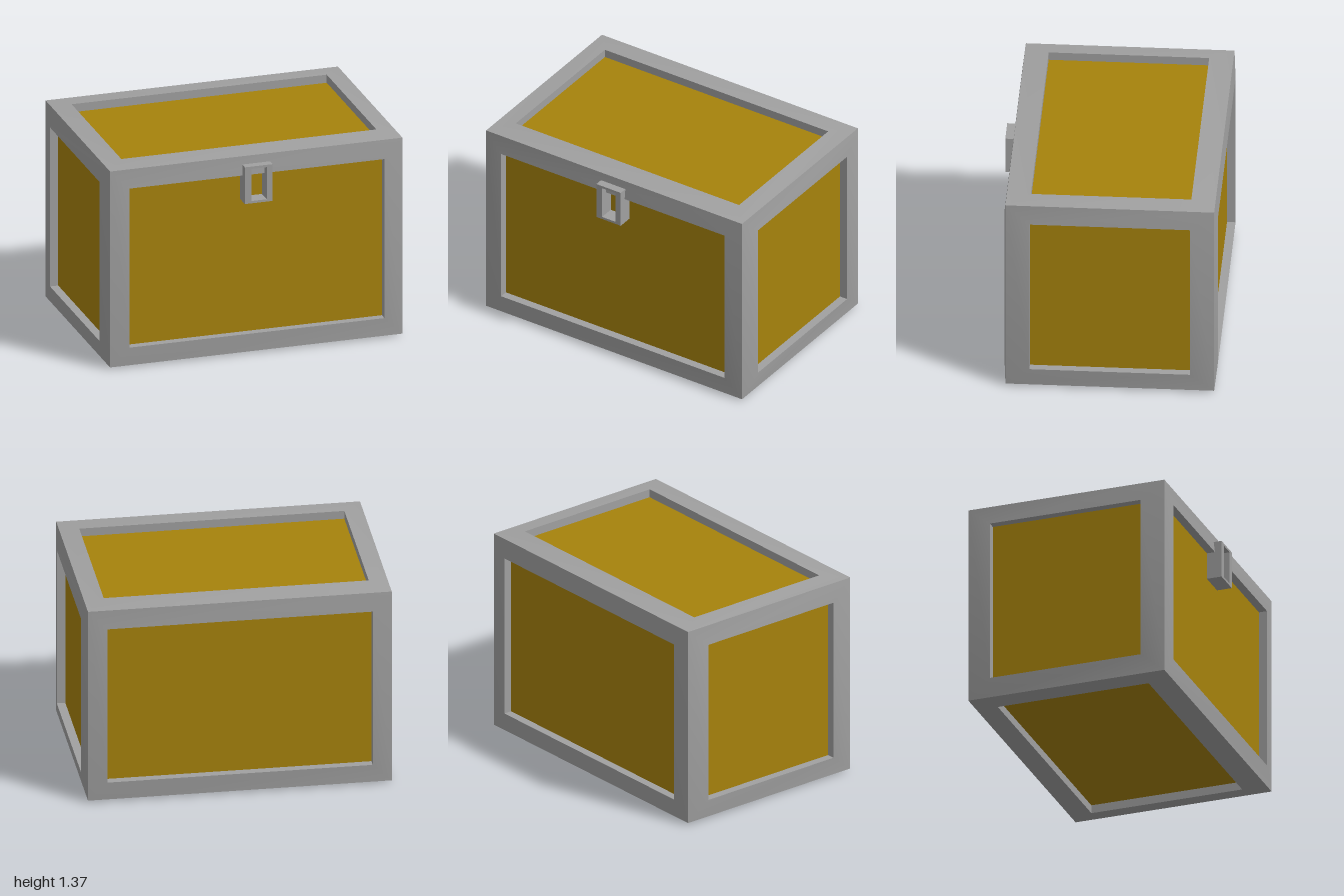
import * as THREE from 'three';
import { toCreasedNormals } from 'three/addons/utils/BufferGeometryUtils.js';

const CENTRE = [0, 0.684, -0.022];
const CORNER = [0.98, 0.669, 0.667]; // half extents at the outer corners
const RIM = [1, 0.684, 0.682]; // half extents at the opening rims
const OPENING = [0.855, 0.543, 0.513]; // half sizes of the openings
const RECESS = 0.055;

// One frame side: four sloping borders around an opening, plus its inner walls
function frameSide(axis, sign) {
  const u = (axis + 1) % 3, v = (axis + 2) % 3;
  const loop = (half, depth) => {
    const pts = [[-1, -1], [1, -1], [1, 1], [-1, 1]].map(([a, b]) => {
      const p = [0, 0, 0];
      p[axis] = sign * depth;
      p[u] = a * half[u];
      p[v] = b * half[v];
      return p.map((c, i) => c + CENTRE[i]);
    });
    return sign > 0 ? pts : pts.reverse();
  };
  const loops = [
    loop(CORNER, CORNER[axis]),
    loop(OPENING, RIM[axis]),
    loop(OPENING, RIM[axis] - RECESS - 0.005),
  ];
  const pos = [];
  for (let k = 0; k < 2; k++) {
    for (let i = 0; i < 4; i++) {
      const j = (i + 1) % 4;
      const [a, b, c, d] = [loops[k][i], loops[k][j], loops[k + 1][j], loops[k + 1][i]];
      pos.push(...a, ...b, ...c, ...a, ...c, ...d);
    }
  }
  const geo = new THREE.BufferGeometry();
  geo.setAttribute('position', new THREE.Float32BufferAttribute(pos, 3));
  return toCreasedNormals(geo, Math.PI / 6);
}

function rectangle(PathType, x0, x1, y0, y1) {
  return new PathType([[x0, y0], [x1, y0], [x1, y1], [x0, y1]].map(([x, y]) => new THREE.Vector2(x, y)));
}

export function createModel() {
  const metal = new THREE.MeshStandardMaterial({ color: 0xa0a0a0 });
  metal.name = 'grey metal';
  const gold = new THREE.MeshStandardMaterial({ color: 0xa6820c });
  gold.name = 'golden brown panel';

  const model = new THREE.Group();
  model.name = 'chest';
  const add = (name, geo, mat, parent = model) => {
    const mesh = new THREE.Mesh(geo, mat);
    mesh.name = name;
    parent.add(mesh);
    return mesh;
  };

  // Outer frame
  const frame = new THREE.Group();
  frame.name = 'frame';
  model.add(frame);
  const names = [['rightFrame', 'leftFrame'], ['bottomFrame', 'topFrame'], ['backFrame', 'frontFrame']];
  names.forEach((pair, axis) => pair.forEach((name, s) => {
    add(name, frameSide(axis, s ? 1 : -1), metal, frame);
  }));

  // Recessed panels, all faces of one inner box
  const size = RIM.map((h) => 2 * (h - RECESS));
  add('panels', new THREE.BoxGeometry(...size), gold).position.set(...CENTRE);

  // Latch: a block with a rectangular hole through to the panel
  const plate = rectangle(THREE.Shape, -0.096, 0.091, 1.048, 1.299);
  plate.holes.push(rectangle(THREE.Path, -0.052, 0.051, 1.064, 1.283));
  const latch = new THREE.ExtrudeGeometry(plate, { depth: 0.1, bevelEnabled: false });
  add('latch', latch, metal).position.z = 0.605;

  return model;
}
